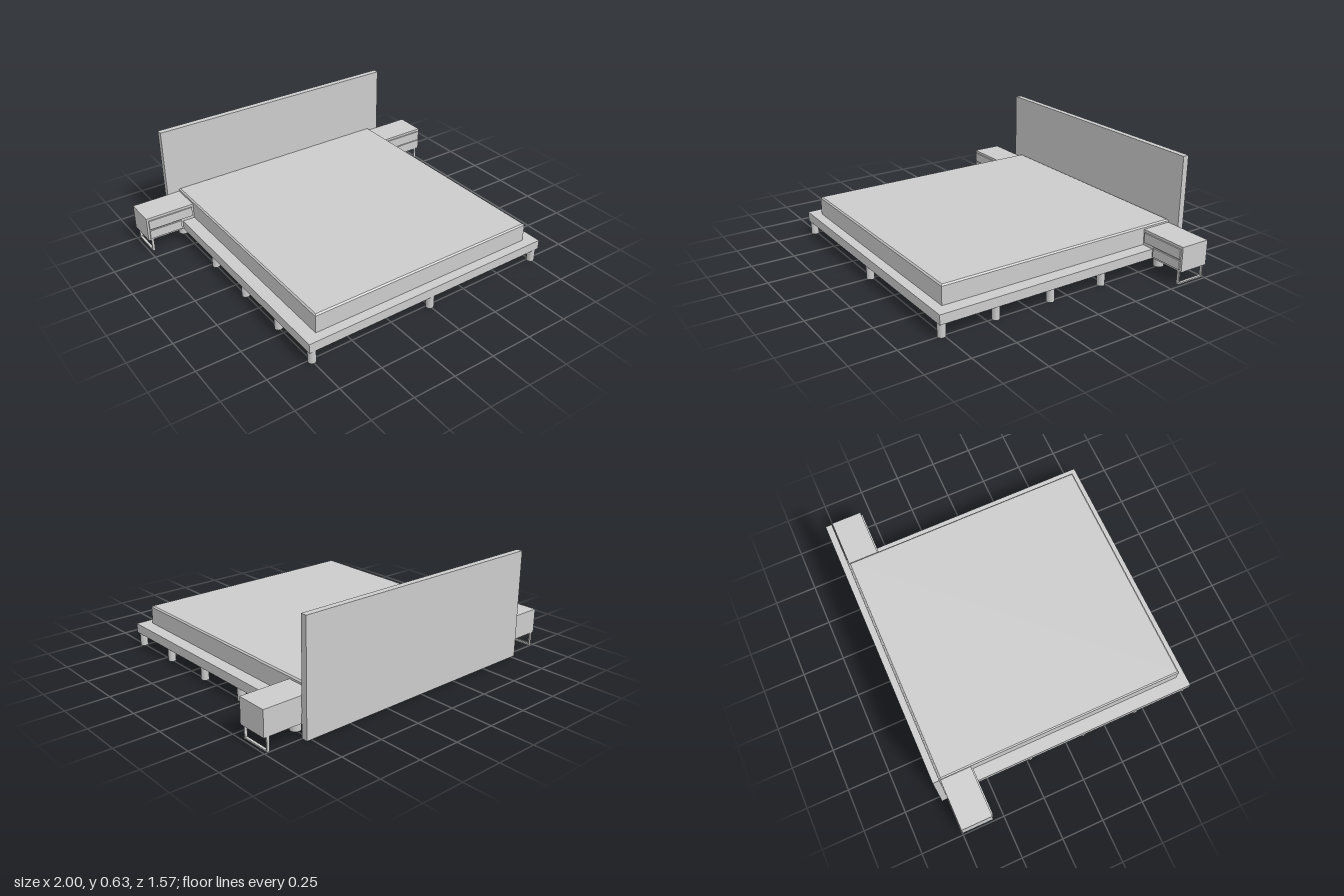
import * as THREE from 'three';

const material = new THREE.MeshStandardMaterial({ color: 0xcccccc });

function add(parent, name, geometry) {
  const mesh = new THREE.Mesh(geometry, material);
  mesh.name = name;
  parent.add(mesh);
  return mesh;
}

// Box given by its extents on each axis
function box(parent, name, [x0, x1], [y0, y1], [z0, z1]) {
  const mesh = add(parent, name, new THREE.BoxGeometry(x1 - x0, y1 - y0, z1 - z0));
  mesh.position.set((x0 + x1) / 2, (y0 + y1) / 2, (z0 + z1) / 2);
  return mesh;
}

// Box whose top edges are chamfered by c
function chamferedTop(w, h, d, c) {
  const geometry = new THREE.BoxGeometry(w, h, d, 1, 2, 1);
  const p = geometry.attributes.position;
  for (let i = 0; i < p.count; i++) {
    if (Math.abs(p.getY(i)) < 1e-6) p.setY(i, h / 2 - c);
    else if (p.getY(i) > 0) {
      p.setX(i, p.getX(i) - Math.sign(p.getX(i)) * c);
      p.setZ(i, p.getZ(i) - Math.sign(p.getZ(i)) * c);
    }
  }
  const flat = geometry.toNonIndexed();
  flat.computeVertexNormals();
  return flat;
}

function bedLeg(parent, x, z, r) {
  const leg = add(parent, 'bedLeg', new THREE.CylinderGeometry(r, r, 0.077, 32));
  leg.position.set(x, 0.0385, z);
}

// Nightstand beside the bed; side is +1 for left, -1 for right
function nightstand(side) {
  const group = new THREE.Group();
  group.name = side > 0 ? 'leftNightstand' : 'rightNightstand';
  const span = (a, b) => (side > 0 ? [a, b] : [-b, -a]);
  box(group, 'cabinet', span(0.705, 1), [0.079, 0.224], [-0.748, -0.566]);
  box(group, 'upperDrawer', span(0.717, 0.988), [0.152, 0.209], [-0.566, -0.558]);
  box(group, 'lowerDrawer', span(0.79, 0.988), [0.091, 0.144], [-0.566, -0.558]);

  // Open rectangular metal leg frame
  const frame = new THREE.Shape();
  frame.moveTo(-0.09, 0).lineTo(0.09, 0).lineTo(0.09, 0.08).lineTo(-0.09, 0.08).closePath();
  const hole = new THREE.Path();
  hole.moveTo(-0.082, 0.008).lineTo(-0.082, 0.072).lineTo(0.082, 0.072).lineTo(0.082, 0.008).closePath();
  frame.holes.push(hole);
  const geometry = new THREE.ExtrudeGeometry(frame, { depth: 0.015, bevelEnabled: false });
  geometry.translate(0, 0, -0.0075);
  const leg = add(group, 'legFrame', geometry);
  leg.rotation.y = Math.PI / 2;
  leg.position.set(side * 0.976, 0, -0.658);
  return group;
}

export function createModel() {
  const model = new THREE.Group();
  model.name = 'platformBed';

  // Bed body
  box(model, 'headboard', [-0.778, 0.778], [0, 0.632], [-0.786, -0.75]);
  box(model, 'platform', [-0.778, 0.778], [0.077, 0.132], [-0.75, 0.786]);
  const mattress = add(model, 'mattress', chamferedTop(1.408, 0.11, 1.48, 0.008));
  mattress.position.set(0, 0.187, -0.01);

  // Legs: two side rows and a thicker centre row
  for (const z of [0.762, 0.45, 0.112, -0.226, -0.656]) {
    const front = z > 0.7;
    const back = z < -0.6;
    bedLeg(model, 0, z, front ? 0.022 : 0.035);
    for (const side of [-1, 1]) {
      bedLeg(model, side * (back ? 0.742 : 0.75), z, back ? 0.03 : 0.022);
    }
  }

  for (const side of [1, -1]) model.add(nightstand(side));
  return model;
}
